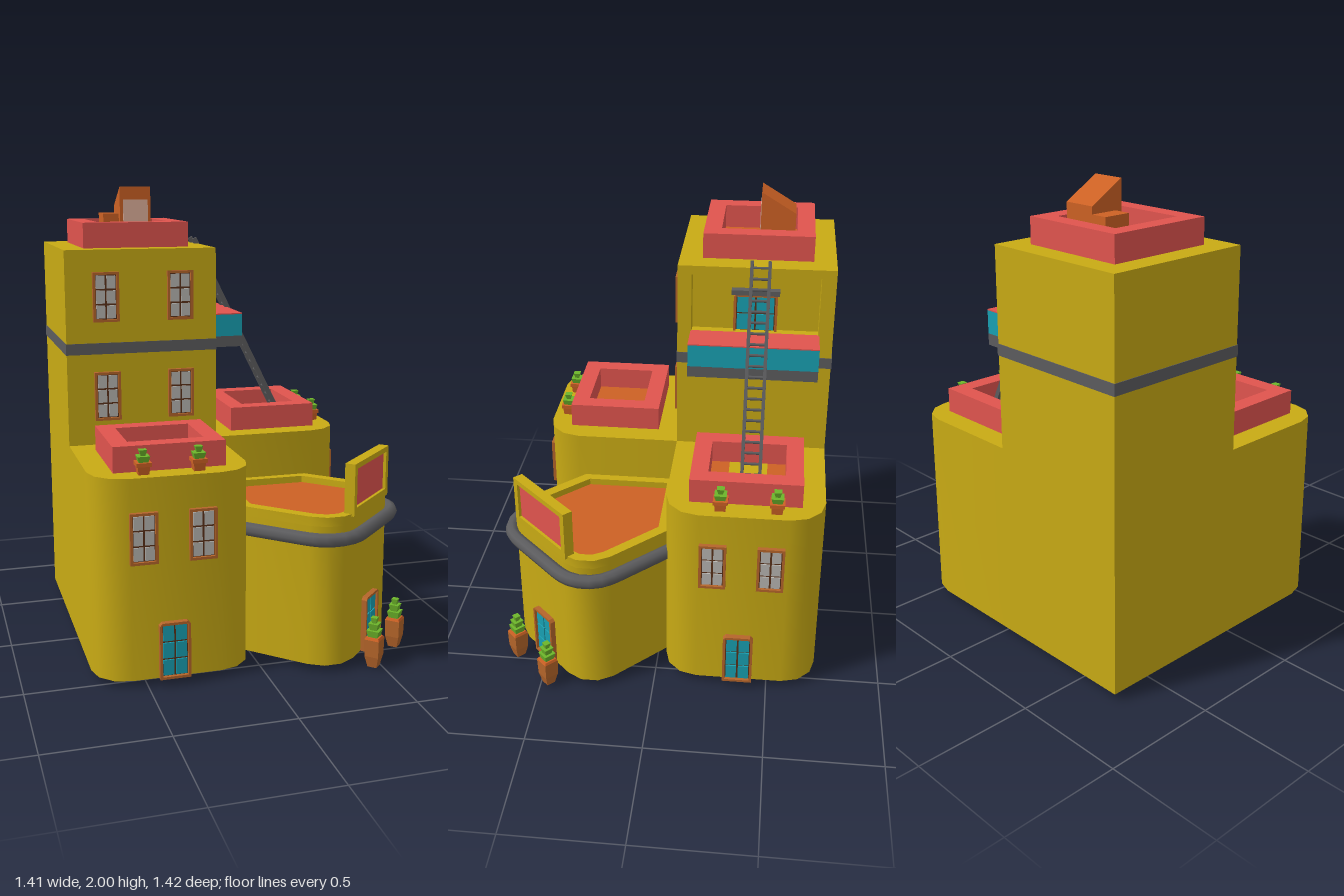
import * as THREE from 'three';
import { toCreasedNormals } from 'three/addons/utils/BufferGeometryUtils.js';

const mat = (color) => new THREE.MeshStandardMaterial({ color, flatShading: false });
const M = {
  wall: mat(0xc8aa14), red: mat(0xe0544e), orange: mat(0xcc6124), grey: mat(0x5c5c5e), teal: mat(0x18a0b2),
  green: mat(0x6db52a), brown: mat(0x5a3018), frame: mat(0xb5652a), pane: mat(0xb8b6b2), pink: mat(0xe0b09c),
};

function mesh(name, geo, material, parent) {
  const m = new THREE.Mesh(geo, material);
  m.name = name;
  parent.add(m);
  return m;
}

// Box given by its minimum and maximum corners
function box(name, material, parent, x0, x1, y0, y1, z0, z1) {
  const m = mesh(name, new THREE.BoxGeometry(x1 - x0, y1 - y0, z1 - z0), material, parent);
  m.position.set((x0 + x1) / 2, (y0 + y1) / 2, (z0 + z1) / 2);
  return m;
}

// Plan outline (x, z) raised from y0 to y1
function slab(name, shape, material, parent, y0, y1) {
  // 1.5 gives three segments to each rounded corner
  const geo = new THREE.ExtrudeGeometry(shape, { depth: y1 - y0, bevelEnabled: false, curveSegments: 1.5 });
  geo.rotateX(Math.PI / 2);
  const m = mesh(name, toCreasedNormals(geo, 0.7), material, parent);
  m.position.y = y1;
  return m;
}

// Plan with two rounded corners at its front edge and the given back corners
function roundedFront(x0, x1, zFront, r, back) {
  const s = new THREE.Shape();
  s.moveTo(back[0][0], back[0][1]);
  back.slice(1).forEach(([x, z]) => s.lineTo(x, z));
  s.lineTo(x1, zFront - r);
  s.absarc(x1 - r, zFront - r, r, 0, Math.PI / 2, false);
  s.lineTo(x0 + r, zFront);
  s.absarc(x0 + r, zFront - r, r, Math.PI / 2, Math.PI, false);
  s.closePath();
  return s;
}

function rectPath(x0, x1, z0, z1, Type = THREE.Shape) {
  return new Type([[x0, z0], [x1, z0], [x1, z1], [x0, z1]].map(([x, z]) => new THREE.Vector2(x, z)));
}

// Red parapet ring with an orange roof floor inside
function parapet(name, parent, x0, x1, z0, z1, y, h) {
  const t = 0.075;
  const s = rectPath(x0, x1, z0, z1);
  s.holes.push(rectPath(x0 + t, x1 - t, z0 + t, z1 - t, THREE.Path));
  slab(name, s, M.red, parent, y, y + h);
  box(name + 'Floor', M.orange, parent, x0 + t, x1 - t, y - 0.01, y + 0.008, z0 + t, z1 - t);
}

function placed(name, parent, x, y, z, turn = 0) {
  const g = new THREE.Group();
  g.name = name;
  g.position.set(x, y, z);
  g.rotation.y = turn;
  parent.add(g);
  return g;
}

// Framed opening with a grid of panels, facing +z, standing on its origin
function opening(name, parent, [x, y, z, turn], w, h, depth, panelMat, barMat, chamfer) {
  const g = placed(name, parent, x, y, z, turn);
  const e = 0.011, a = w / 2;
  const outline = [[-a, 0], [a, 0], [a, h - chamfer], [a - chamfer, h], [chamfer - a, h], [-a, h - chamfer]];
  const s = new THREE.Shape(outline.map(([u, v]) => new THREE.Vector2(u, v)));
  s.holes.push(rectPath(e - a, a - e, e, h - e, THREE.Path));
  mesh('frame', new THREE.ExtrudeGeometry(s, { depth, bevelEnabled: false }), M.frame, g);
  box('backing', barMat, g, e - a, a - e, e, h - e, -0.005, depth * 0.4);
  const cw = (w - 2 * e) / 2, rh = (h - 2 * e) / 3, gap = 0.004;
  for (let c = 0; c < 2; c++) for (let r = 0; r < 3; r++) {
    const px = -a + e + c * cw, py = e + r * rh;
    box('panel', panelMat, g, px + gap, px + cw - gap, py + gap, py + rh - gap, 0, depth * 0.65);
  }
}
const windowAt = (p, x, y, z, turn = 0) =>
  opening('window', p, [x, y, z, turn], 0.115, 0.215, 0.02, M.pane, M.brown, 0.0001);
const doorAt = (p, x, y, z, turn = 0, w = 0.13, h = 0.245) =>
  opening('door', p, [x, y, z, turn], w, h, 0.026, M.teal, M.brown, 0.012);

// Square tapered prism; half widths at the bottom and top
function prism(name, material, parent, bottom, top, y0, y1) {
  const geo = new THREE.CylinderGeometry(top * Math.SQRT2, bottom * Math.SQRT2, y1 - y0, 4).toNonIndexed();
  geo.rotateY(Math.PI / 4);
  geo.computeVertexNormals();
  mesh(name, geo, material, parent).position.y = (y0 + y1) / 2;
}

function roofPlant(parent, x, z) {
  const g = placed('roofPlant', parent, x, 0.885, z);
  prism('pot', M.orange, g, 0.022, 0.026, 0, 0.042);
  prism('potRim', M.orange, g, 0.031, 0.031, 0.034, 0.05);
  prism('cactusLower', M.green, g, 0.018, 0.026, 0.045, 0.075);
  prism('cactusUpper', M.green, g, 0.009, 0.016, 0.075, 0.1);
}

function floorPlant(parent, x, z) {
  const g = placed('doorPlant', parent, x, 0, z);
  prism('potBase', M.frame, g, 0.02, 0.031, 0, 0.05);
  prism('potBody', M.frame, g, 0.031, 0.033, 0.05, 0.125);
  prism('potRim', M.orange, g, 0.033, 0.028, 0.125, 0.135);
  prism('cactusLower', M.green, g, 0.02, 0.027, 0.13, 0.165);
  prism('cactusMiddle', M.green, g, 0.015, 0.022, 0.165, 0.195);
  prism('cactusUpper', M.green, g, 0.009, 0.014, 0.195, 0.22);
}

function ladder(parent) {
  const a = new THREE.Vector3(0.375, 0.89, -0.392), b = new THREE.Vector3(-0.058, 1.765, -0.392);
  const g = placed('ladder', parent, a.x, a.y, a.z);
  const len = a.distanceTo(b);
  g.rotation.z = Math.atan2(a.x - b.x, b.y - a.y);
  for (const s of [-1, 1]) box('rail', M.grey, g, -0.011, 0.011, 0, len, s * 0.038 - 0.007, s * 0.038 + 0.007);
  for (let i = 0; i < 21; i++) {
    const rung = mesh('rung', new THREE.CylinderGeometry(0.006, 0.006, 0.076, 6), M.grey, g);
    rung.rotation.x = Math.PI / 2;
    rung.position.y = 0.03 + i * (len - 0.06) / 20;
  }
}

// Corner entrance; its own +z points along the diagonal
function entrance(parent) {
  const g = placed('entrance', parent, 0, 0, 0, Math.PI / 4);
  const outer = () => roundedFront(-0.304, 0.304, 0.7, 0.145, [[-0.304, 0.24], [0, -0.06], [0.304, 0.24]]);
  const inner = roundedFront(-0.257, 0.257, 0.655, 0.1, [[-0.257, 0.257], [0, 0], [0.257, 0.257]]);
  slab('entranceWalls', outer(), M.wall, g, 0.03, 0.64);
  const rim = outer();
  rim.holes.push(inner);
  slab('entranceRim', rim, M.wall, g, 0.64, 0.68);
  slab('entranceRoof', inner, M.orange, g, 0.63, 0.65);

  // Awning pipe follows the wall just outside it
  const w = 0.326, f = 0.722, r = 0.165, path = new THREE.CurvePath();
  const pts = [[w, 0.25]];
  for (let i = 0; i <= 5; i++) {
    const t = i * Math.PI / 10;
    pts.push([w - r + r * Math.cos(t), f - r + r * Math.sin(t)]);
  }
  const all = [...pts, ...pts.map(([x, z]) => [-x, z]).reverse()].map(([x, z]) => new THREE.Vector3(x, 0.59, z));
  for (let i = 1; i < all.length; i++) path.add(new THREE.LineCurve3(all[i - 1], all[i]));
  mesh('pipe', new THREE.TubeGeometry(path, 60, 0.03, 8, false), M.grey, g);

  // Sign board with a plain red panel
  const board = rectPath(-0.19, 0.19, 0.67, 0.893);
  board.holes.push(rectPath(-0.163, 0.163, 0.703, 0.87, THREE.Path));
  const frame = mesh('signFrame', new THREE.ExtrudeGeometry(board, { depth: 0.045, bevelEnabled: false }), M.wall, g);
  frame.position.z = 0.66;
  box('signPanel', M.red, g, -0.163, 0.163, 0.703, 0.87, 0.66, 0.692);

  doorAt(g, 0, 0.03, 0.698, 0, 0.14);
  for (const s of [-1, 1]) floorPlant(g, s * 0.122, 0.783);
}

export function createModel() {
  const house = new THREE.Group();
  house.name = 'house';

  // Tower with a recess on its right side
  box('towerLower', M.wall, house, -0.71, -0.04, 0.03, 1.43, -0.713, -0.04);
  box('towerUpper', M.wall, house, -0.71, -0.11, 1.43, 1.7, -0.713, -0.04);
  box('recessJambFront', M.wall, house, -0.11, -0.04, 1.43, 1.7, -0.1, -0.04);
  box('recessJambBack', M.wall, house, -0.11, -0.04, 1.43, 1.7, -0.713, -0.65);
  box('towerTop', M.wall, house, -0.71, -0.04, 1.7, 1.74, -0.713, -0.04);
  box('towerBand', M.grey, house, -0.713, -0.037, 1.288, 1.337, -0.716, -0.037);
  parapet('towerParapet', house, -0.61, -0.14, -0.615, -0.14, 1.74, 0.11);

  // Balcony and its door
  box('balconyBand', M.grey, house, -0.05, 0.1, 1.288, 1.337, -0.655, -0.097);
  box('balconyWall', M.teal, house, -0.05, 0.1, 1.337, 1.435, -0.655, -0.097);
  box('balconyFloor', M.red, house, -0.05, 0.1, 1.435, 1.44, -0.655, -0.097);
  doorAt(house, -0.112, 1.34, -0.375, Math.PI / 2, 0.19, 0.26);
  box('balconyLintel', M.grey, house, -0.12, -0.075, 1.6, 1.622, -0.478, -0.27);

  // Roof hut with a sloping top, and a small box beside it
  const hut = new THREE.Shape([[0.38, 1.74], [0.53, 1.74], [0.53, 1.91], [0.38, 2]].map((p) => new THREE.Vector2(...p)));
  const hutGeo = new THREE.ExtrudeGeometry(hut, { depth: 0.143, bevelEnabled: false });
  hutGeo.rotateY(Math.PI / 2);
  mesh('roofHut', hutGeo, M.orange, house).position.x = -0.4;
  box('hutPanel', M.pink, house, -0.385, -0.27, 1.75, 1.943, -0.385, -0.377);
  box('roofBox', M.orange, house, -0.472, -0.4, 1.74, 1.88, -0.53, -0.41);

  // Front wing
  slab('frontWing', roundedFront(-0.71, -0.04, 0.565, 0.148, [[-0.71, -0.05], [-0.04, -0.05]]), M.wall, house, 0.03, 0.885);
  parapet('frontParapet', house, -0.61, -0.14, 0.055, 0.465, 0.885, 0.108);

  // Side wing: same plan turned to face +x
  const side = slab('sideWing', roundedFront(0.04, 0.713, 0.565, 0.148, [[0.04, -0.05], [0.713, -0.05]]), M.wall, house, 0.03, 0.885);
  side.rotation.y = Math.PI / 2;
  parapet('sideParapet', house, 0.06, 0.465, -0.615, -0.14, 0.885, 0.108);
  box('roofHatch', M.wall, house, 0.18, 0.275, 0.885, 0.92, -0.46, -0.295);

  // Windows, doors and roof plants
  for (const x of [-0.535, -0.205]) for (const y of [0.995, 1.43]) windowAt(house, x, y, -0.041);
  for (const x of [-0.51, -0.265]) windowAt(house, x, 0.53, 0.564);
  for (const z of [-0.25, -0.495]) windowAt(house, 0.564, 0.53, z, Math.PI / 2);
  doorAt(house, -0.388, 0.03, 0.564);
  doorAt(house, 0.564, 0.03, -0.37, Math.PI / 2);
  for (const x of [-0.495, -0.265]) roofPlant(house, x, 0.5);
  for (const z of [-0.275, -0.51]) roofPlant(house, 0.505, z);

  ladder(house);
  entrance(house);
  return house;
}
